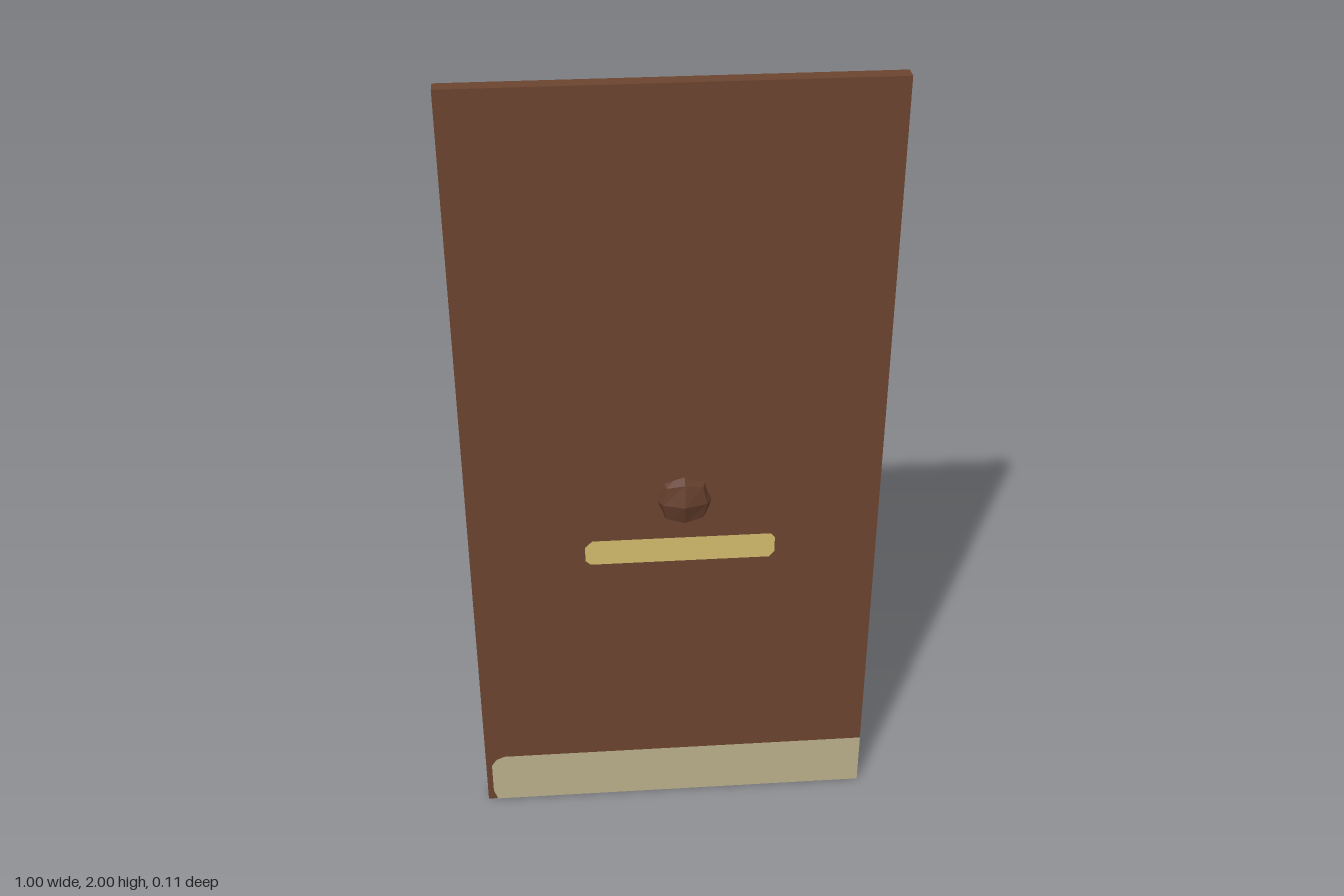
import * as THREE from 'three';

const DEPTH = 0.036;

function material(name, color, extra = {}) {
  const m = new THREE.MeshStandardMaterial({ color, ...extra });
  m.name = name;
  return m;
}

// Flat painted plate, repeated on the front and back of the slab
function platePair(name, points, mat) {
  const group = new THREE.Group();
  group.name = name;
  const shape = new THREE.Shape(points.map(([x, y]) => new THREE.Vector2(x, y)));
  for (const side of [1, -1]) {
    const mesh = new THREE.Mesh(new THREE.ShapeGeometry(shape), mat);
    mesh.name = name + (side > 0 ? 'Front' : 'Back');
    mesh.position.z = side * (DEPTH / 2 + 0.0015);
    group.add(mesh);
  }
  return group;
}

export function createModel() {
  const wood = material('brown wood', 0x6b4430);
  const knobWood = material('dark knob wood', 0x613c2a, { flatShading: true });
  const gold = material('gold', 0xd2bc6e, { side: THREE.DoubleSide });
  const cream = material('pale brass', 0xbab08b, { side: THREE.DoubleSide });

  const door = new THREE.Group();
  door.name = 'door';

  // Slab
  const slab = new THREE.Mesh(new THREE.BoxGeometry(1, 2, DEPTH), wood);
  slab.name = 'slab';
  slab.position.y = 1;
  door.add(slab);

  // Knob: a subdivided cube rounded to a faceted ball, passing through the slab
  const ball = new THREE.BoxGeometry(1, 1, 1, 2, 2, 2);
  const p = ball.attributes.position;
  const v = new THREE.Vector3();
  for (let i = 0; i < p.count; i++) {
    v.fromBufferAttribute(p, i).normalize();
    p.setXYZ(i, v.x * 0.076, v.y * 0.076, v.z * 0.055);
  }
  ball.computeVertexNormals();
  const knob = new THREE.Mesh(ball, knobWood);
  knob.name = 'knob';
  knob.position.set(0.025, 0.95, 0);
  door.add(knob);

  // Letter slot with clipped corners
  door.add(platePair('letterSlot', [
    [-0.205, 0.77], [0.235, 0.77], [0.248, 0.785], [0.248, 0.827],
    [0.238, 0.84], [-0.2, 0.84], [-0.218, 0.822], [-0.218, 0.782],
  ], gold));

  // Kick plate, running to the +x edge
  door.add(platePair('kickPlate', [
    [-0.475, 0], [0.5, 0], [0.5, 0.15], [-0.45, 0.15],
    [-0.472, 0.14], [-0.485, 0.12], [-0.485, 0.03],
  ], cream));

  return door;
}
